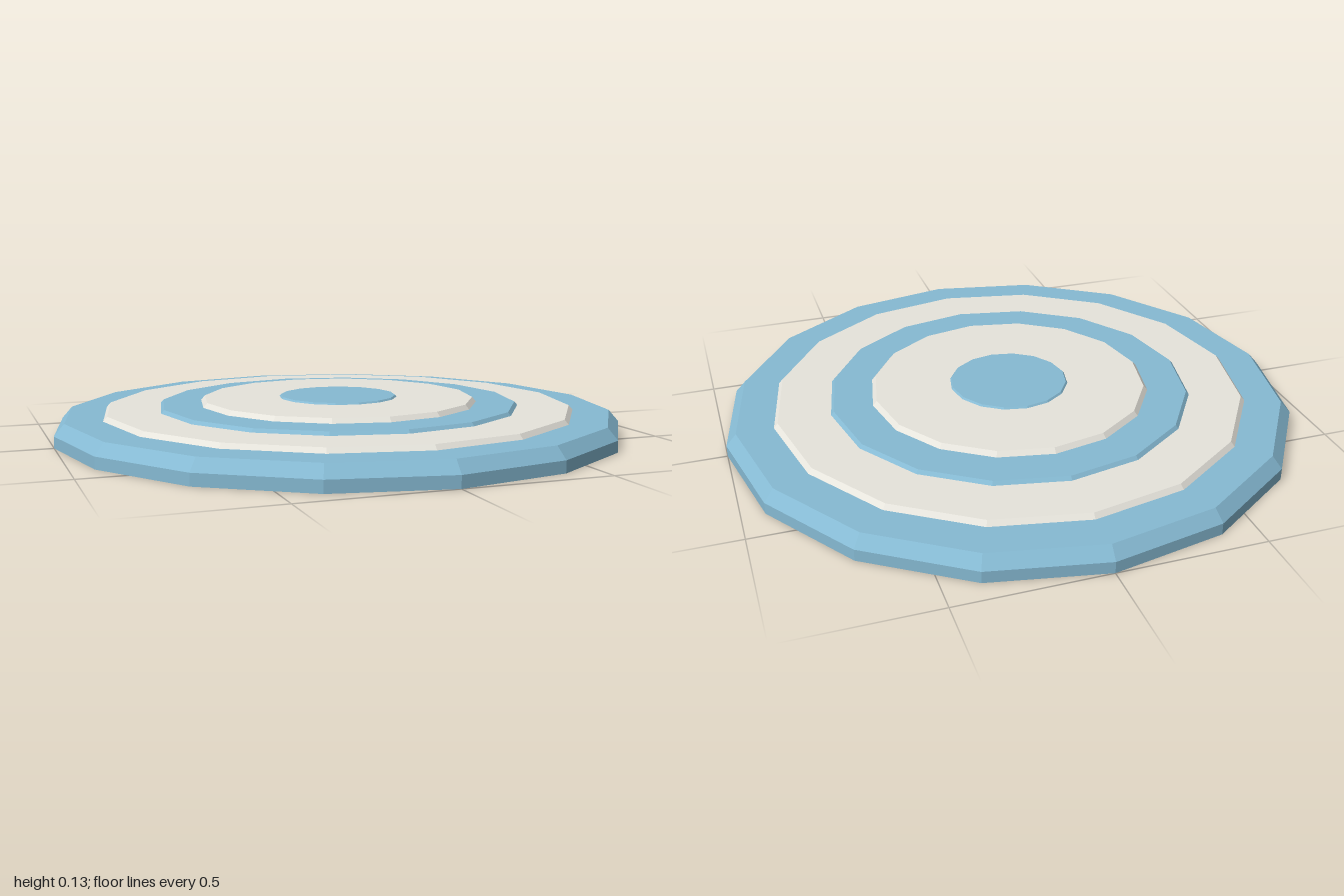
import * as THREE from 'three';

const SIDES = 16;

// Open-bottomed shell: straight wall, chamfered rim, flat top (unit radius)
const PROFILE = [[1, 0], [1, 0.04], [0.965, 0.08], [0, 0.08]];

export function createModel() {
  const group = new THREE.Group();
  group.name = 'steppedDisc';

  const material = (color) => new THREE.MeshStandardMaterial({
    color, flatShading: true, side: THREE.DoubleSide,
  });
  const blue = material(0x86bad3);
  const white = material(0xe6e4dc);

  // The same shell, shrunk evenly; each top sits a little above the last
  const shells = [
    ['outerRim', 1, 0.08, blue],
    ['outerWhiteRing', 0.853, 0.096, white],
    ['middleBlueRing', 0.653, 0.108, blue],
    ['innerWhiteRing', 0.497, 0.124, white],
    ['centreDisc', 0.212, 0.13, blue],
  ];

  for (const [name, scale, top, mat] of shells) {
    const points = PROFILE.map(([r, y]) => new THREE.Vector2(r * scale, y * scale));
    const mesh = new THREE.Mesh(new THREE.LatheGeometry(points, SIDES), mat);
    mesh.name = name;
    mesh.position.y = top - 0.08 * scale;
    group.add(mesh);
  }

  return group;
}
